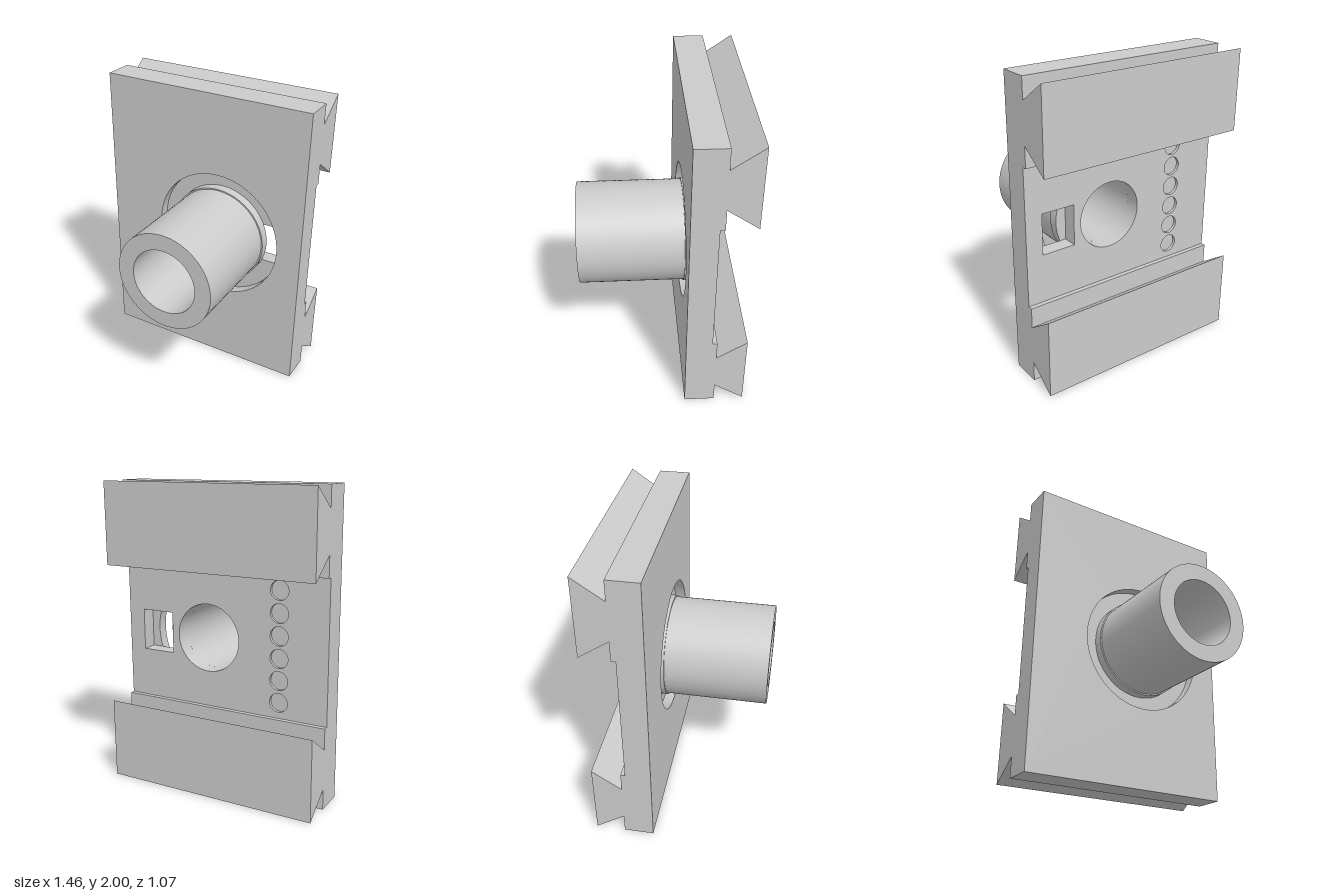
import * as THREE from 'three';
import { toCreasedNormals } from 'three/addons/utils/BufferGeometryUtils.js';

const material = new THREE.MeshStandardMaterial({ color: 0xcccccc });
const W = 0.73;            // half width of the plate
const CX = 0.11, CY = 1;   // axis of the tube

function addMesh(group, name, geometry) {
  const mesh = new THREE.Mesh(toCreasedNormals(geometry, 0.5), material);
  mesh.name = name;
  group.add(mesh);
  return mesh;
}

function circle(x, y, r) {
  return new THREE.Path().absarc(x, y, r, 0, Math.PI * 2, true);
}

function rectangle(Type, x0, y0, x1, y1) {
  return new Type([[x0, y0], [x1, y0], [x1, y1], [x0, y1]].map(p => new THREE.Vector2(...p)));
}

// One slice of the plate between two depths, with the given openings
function plateLayer(z0, z1, holes) {
  const shape = rectangle(THREE.Shape, -W, 0, W, 2);
  shape.holes.push(...holes);
  return new THREE.ExtrudeGeometry(shape, { depth: z1 - z0, bevelEnabled: false, curveSegments: 48 })
    .translate(0, 0, z0);
}

export function createModel() {
  const model = new THREE.Group();
  model.name = 'dovetailMountPlate';

  // Plate: ring groove in front, bore and window through, six round pockets behind
  const bore = () => circle(CX, CY, 0.225);
  const window = () => rectangle(THREE.Path, 0.385, 0.865, 0.615, 1.14);
  const pockets = [];
  for (let i = 0; i < 6; i++) pockets.push(circle(-0.4, CY + (i - 2.5) * 0.144, 0.062));
  addMesh(model, 'plateFront', plateLayer(-0.21, -0.14, [circle(CX, CY, 0.45)]));
  addMesh(model, 'plateCore', plateLayer(-0.29, -0.21, [bore(), window()]));
  addMesh(model, 'plateBack', plateLayer(-0.31, -0.29, [bore(), window(), ...pockets]));

  // Hollow tube with a slightly wider collar sunk in the ring groove
  const profile = [
    [0.225, -0.21], [0.345, -0.21], [0.345, -0.145], [0.336, -0.145],
    [0.336, 0.535], [0.225, 0.535], [0.225, -0.21],
  ].map(p => new THREE.Vector2(...p));
  const tube = new THREE.LatheGeometry(profile, 72).rotateX(Math.PI / 2);
  addMesh(model, 'tube', tube).position.set(CX, CY, 0);

  // Dovetail rails across the back, each on a shallow pad (profile in -z, y)
  const rail = new THREE.Shape([
    [0.31, 0], [0.34, 0], [0.34, 0.137], [0.535, 0],
    [0.535, 0.537], [0.34, 0.402], [0.34, 0.537], [0.31, 0.537],
  ].map(p => new THREE.Vector2(...p)));
  for (const [name, y] of [['lowerRail', 0], ['upperRail', 1.463]]) {
    const geometry = new THREE.ExtrudeGeometry(rail, { depth: 2 * W, bevelEnabled: false })
      .rotateY(Math.PI / 2).translate(-W, y, 0);
    addMesh(model, name, geometry);
  }
  return model;
}
